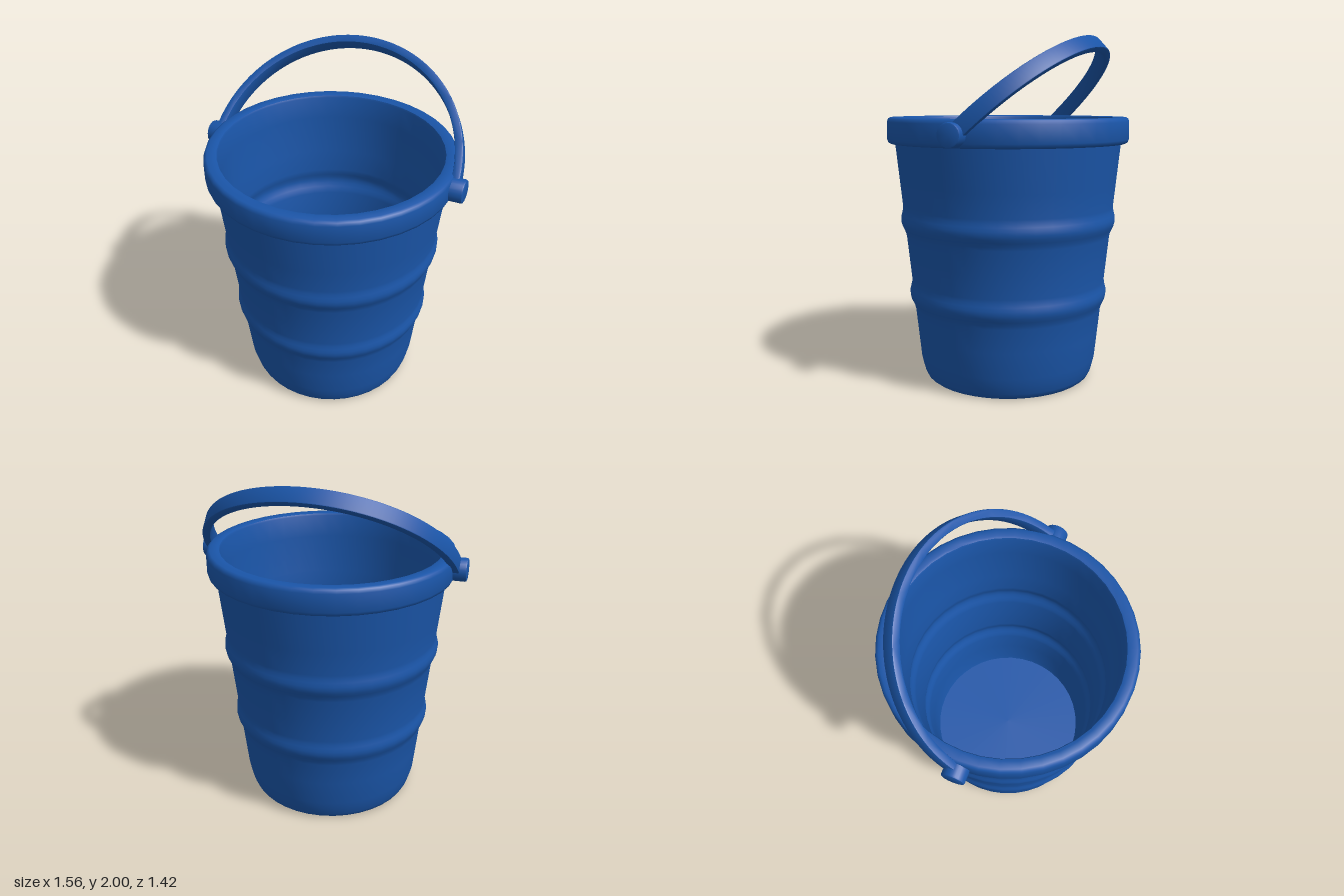
import * as THREE from 'three';
import { toCreasedNormals } from 'three/addons/utils/BufferGeometryUtils.js';

const PIVOT_Y = 1.47;

// Radius of the tapered outer wall, with two raised bands
function wallRadius(y) {
  let r = 0.53 + 0.1063 * (y - 0.13);
  for (const c of [0.505, 0.945]) {
    const d = Math.abs(y - c) / 0.085;
    if (d < 1) r += 0.021 * Math.cos(d * Math.PI / 2) ** 2;
  }
  return r;
}

export function createModel() {
  const model = new THREE.Group();
  model.name = 'bucket';
  const blue = new THREE.MeshStandardMaterial({ color: 0x1a55a8 });

  function add(name, geometry, crease, parent = model) {
    const mesh = new THREE.Mesh(toCreasedNormals(geometry, crease), blue);
    mesh.name = name;
    parent.add(mesh);
    return mesh;
  }

  // Heights along the wall, denser at the raised bands
  const heights = [0.13, 0.28];
  for (const c of [0.505, 0.945]) {
    for (let i = -4; i <= 4; i++) heights.push(c + i * 0.02125);
    heights.push(c + 0.22);
  }
  heights.push(1.4);

  // Body: recessed underside, outer wall, rolled rim, inner wall, floor
  const profile = [
    [0, 0.06], [0.37, 0.06], [0.4, 0.05], [0.44, 0.01], [0.46, 0],
    [0.48, 0], [0.495, 0.012], [0.506, 0.035], [0.52, 0.085],
    ...heights.map((y) => [wallRadius(y), y]),
    [0.69, 1.4], [0.703, 1.407], [0.71, 1.425],
    [0.71, 1.525], [0.703, 1.543], [0.69, 1.55],
    [0.65, 1.55], [0.637, 1.546], [0.632, 1.535],
    ...heights.slice().reverse().map((y) => [wallRadius(y) - 0.038, y]),
    [0.485, 0.1], [0, 0.1],
  ].map(([r, y]) => new THREE.Vector2(r, y));
  add('body', new THREE.LatheGeometry(profile, 40), 0.75);

  // Handle: flat half-elliptical band, tilted to the back
  const bevel = 0.006;
  const arch = new THREE.Shape();
  arch.absellipse(0, 0, 0.742 - bevel, 0.743 - bevel, 0, Math.PI, false, 0);
  arch.absellipse(0, 0, 0.697 + bevel, 0.698 + bevel, Math.PI, 0, true, 0);
  arch.closePath();
  const width = 0.09 - 2 * bevel;
  const band = new THREE.ExtrudeGeometry(arch, {
    depth: width, curveSegments: 36, bevelSize: bevel,
    bevelThickness: bevel, bevelSegments: 2,
  });
  band.translate(0, 0, -width / 2);
  const handle = add('handle', band, 0.6);
  handle.position.y = PIVOT_Y;
  handle.rotation.x = -THREE.MathUtils.degToRad(47.7);

  // Pivot knobs on both sides of the rim
  const knobProfile = [
    [0, 0.66], [0.066, 0.66], [0.066, 0.77], [0.063, 0.777], [0.056, 0.78], [0, 0.78],
  ].map(([r, y]) => new THREE.Vector2(r, y));
  for (const side of [1, -1]) {
    const knob = add(side > 0 ? 'leftKnob' : 'rightKnob', new THREE.LatheGeometry(knobProfile, 24), 0.6);
    knob.position.y = PIVOT_Y;
    knob.rotation.z = -side * Math.PI / 2;
  }

  return model;
}
